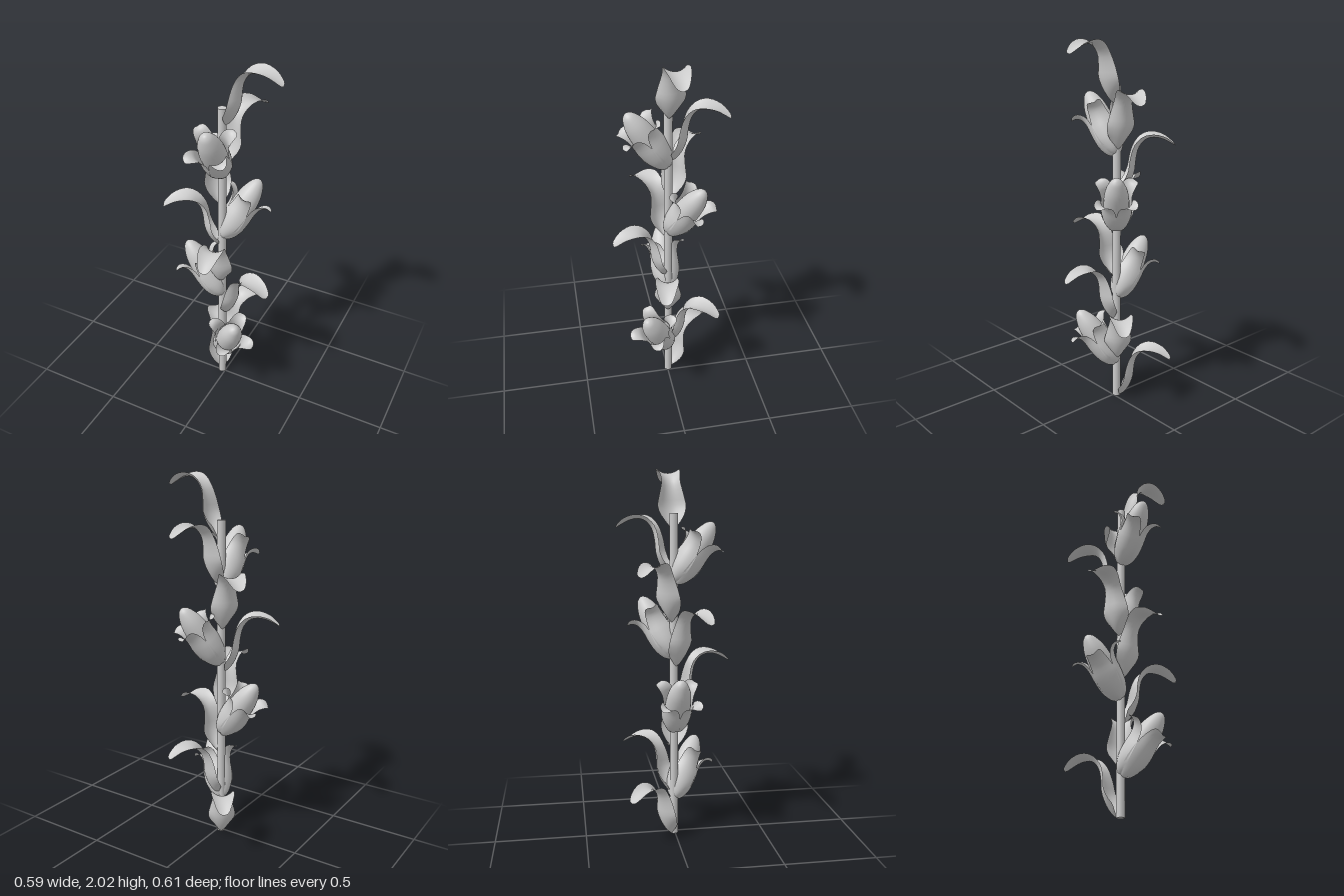
import * as THREE from 'three';

const material = new THREE.MeshStandardMaterial({ color: 0xcccccc, side: THREE.DoubleSide });
const rad = THREE.MathUtils.degToRad;

// Cupped blade: each spine point is [distance out, height, half width];
// the edges curl toward the inner side by cupStart..cupEnd.
function bladeGeometry(spine, cupStart, cupEnd, rows = 28, cols = 10) {
  const curve = new THREE.CatmullRomCurve3(spine.map((p) => new THREE.Vector3(...p)), false, 'centripetal');
  const positions = [];
  const index = [];
  for (let i = 0; i <= rows; i++) {
    const t = i / rows;
    const p = curve.getPoint(t);
    const tangent = curve.getTangent(t);
    const length = Math.hypot(tangent.x, tangent.y) || 1;
    const nx = -tangent.y / length;
    const ny = tangent.x / length;
    const halfWidth = Math.max(p.z, 0);
    const cup = THREE.MathUtils.lerp(cupStart, cupEnd, t) * Math.min(1, halfWidth / 0.05);
    for (let j = 0; j <= cols; j++) {
      const s = (j / cols) * 2 - 1;
      positions.push(p.x + nx * cup * s * s, p.y + ny * cup * s * s, halfWidth * s);
      if (i < rows && j < cols) {
        const a = i * (cols + 1) + j;
        const b = a + cols + 1;
        index.push(a, b, a + 1, b, b + 1, a + 1);
      }
    }
  }
  const geometry = new THREE.BufferGeometry();
  geometry.setAttribute('position', new THREE.Float32BufferAttribute(positions, 3));
  geometry.setIndex(index);
  geometry.computeVertexNormals();
  return geometry;
}

function addMesh(parent, name, geometry) {
  const mesh = new THREE.Mesh(geometry, material);
  mesh.name = name;
  parent.add(mesh);
  return mesh;
}

export function createModel() {
  const model = new THREE.Group();
  model.name = 'floweringStalk';
  const plant = new THREE.Group();
  plant.name = 'plant';
  plant.position.set(-0.02, 0, -0.005);
  model.add(plant);

  // Stem
  const stem = addMesh(plant, 'stem', new THREE.CylinderGeometry(0.023, 0.023, 1.78, 16));
  stem.position.y = 0.89;

  // Leaves spiralling up the stem
  const leafGeometry = bladeGeometry([
    [0.02, 0, 0.008], [0.045, 0.02, 0.037], [0.075, 0.065, 0.064], [0.096, 0.125, 0.077],
    [0.103, 0.19, 0.064], [0.118, 0.25, 0.05], [0.15, 0.29, 0.057], [0.19, 0.303, 0.064],
    [0.24, 0.295, 0.054], [0.285, 0.273, 0.038], [0.306, 0.261, 0.023], [0.312, 0.257, 0],
  ], 0.05, 0.008);
  for (let i = 0; i < 8; i++) {
    const leaf = addMesh(plant, 'leaf', leafGeometry);
    leaf.position.y = i * 0.2414;
    leaf.rotation.y = rad(126 - 69.2 * i);
  }

  // Flower parts: closed bud and four outer petals with flared tips
  const budProfile = new THREE.SplineCurve([
    [0, 0], [0.03, 0.02], [0.055, 0.075], [0.066, 0.15], [0.068, 0.22],
    [0.058, 0.3], [0.035, 0.36], [0.015, 0.382], [0, 0.387],
  ].map((p) => new THREE.Vector2(...p))).getPoints(32);
  budProfile.forEach((p) => { p.x = Math.max(p.x, 0); });
  const budGeometry = new THREE.LatheGeometry(budProfile, 24);
  const petalGeometry = bladeGeometry([
    [0.008, -0.004, 0.008], [0.045, 0.025, 0.036], [0.07, 0.08, 0.058], [0.079, 0.15, 0.062],
    [0.081, 0.21, 0.053], [0.092, 0.25, 0.045], [0.115, 0.272, 0.038], [0.138, 0.274, 0.022],
    [0.145, 0.272, 0],
  ], 0.03, 0.012, 24, 8);

  // Flowers leaning out from the stem
  for (let i = 0; i < 4; i++) {
    const flower = new THREE.Group();
    flower.name = 'flower';
    flower.position.y = 0.2 + i * 0.404;
    flower.rotation.y = rad(-44 - 133.7 * i);
    const head = new THREE.Group();
    head.name = 'flowerHead';
    head.rotation.z = rad(-34);
    flower.add(head);
    addMesh(head, 'bud', budGeometry);
    for (let k = 0; k < 4; k++) {
      addMesh(head, 'outerPetal', petalGeometry).rotation.y = rad(45 + 90 * k);
    }
    plant.add(flower);
  }
  return model;
}
